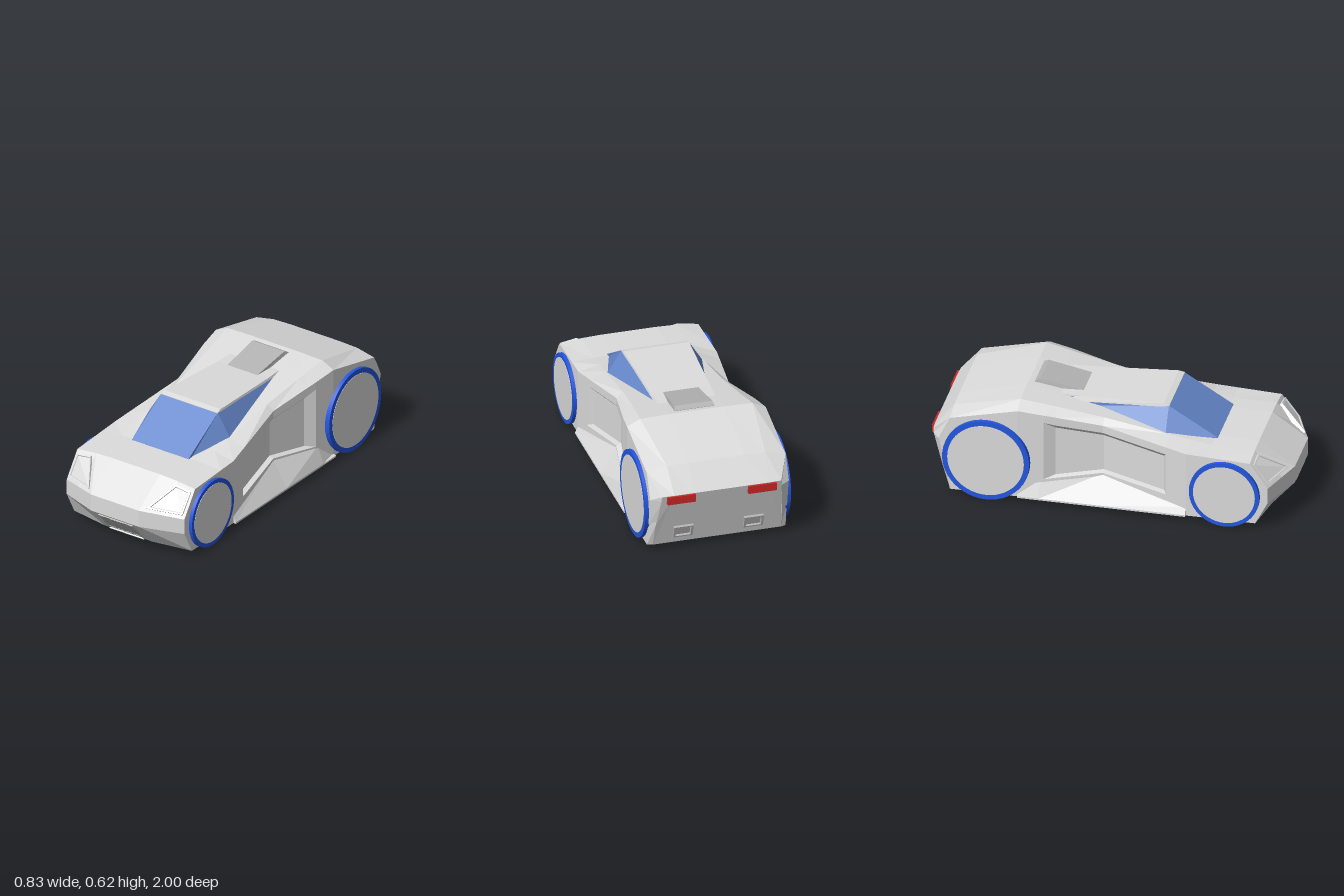
import * as THREE from 'three';

const mat = (name, color) => Object.assign(new THREE.MeshStandardMaterial({ color }), { name });

// Skin over closed rings (front ring first, corners counter-clockwise seen from the front), both ends capped
function loft(rings) {
  const pos = [];
  const tri = (a, b, c) => {
    const [A, B, C] = [a, b, c].map(p => new THREE.Vector3(...p));
    if (B.clone().sub(A).cross(C.clone().sub(A)).length() > 1e-8) pos.push(...a, ...b, ...c);
  };
  const quad = (a, b, c, d) => { tri(a, b, c); tri(a, c, d); };
  const n = rings[0].length;
  for (let i = 0; i < rings.length - 1; i++) {
    for (let k = 0; k < n; k++) {
      const m = (k + 1) % n;
      quad(rings[i][k], rings[i + 1][k], rings[i + 1][m], rings[i][m]);
    }
  }
  const first = rings[0], last = rings[rings.length - 1];
  for (let i = 0; i < n / 2; i++) {
    const ids = [i, i + 1, n - i - 1, (n - i) % n];
    quad(...ids.map(k => first[k]));
    quad(...ids.reverse().map(k => last[k]));
  }
  const g = new THREE.BufferGeometry();
  g.setAttribute('position', new THREE.Float32BufferAttribute(pos, 3));
  g.computeVertexNormals();
  return g;
}

// Raised rim around a sunken panel, laid on the polygon pts
function frame(pts, inset, top, floor, base = -0.02) {
  const v = pts.map(p => new THREE.Vector3(...p));
  const nrm = v[1].clone().sub(v[0]).cross(v[2].clone().sub(v[0])).normalize();
  const mid = v.reduce((s, p) => s.add(p), new THREE.Vector3()).divideScalar(v.length);
  const ring = (t, h) => v.map(p => p.clone().lerp(mid, t).addScaledVector(nrm, h).toArray());
  return loft([ring(inset * 1.25, floor), ring(inset, top), ring(0, top), ring(0, base)]);
}

// Mirror a ring to the side s while keeping its winding
const onSide = (s, pts) => s > 0 ? pts : pts.map(([x, y, z]) => [-x, y, z]).reverse();

// Half section of the body: floor, sill, door pocket, belt line, shoulder, deck
function section(z, x, yLow, yHigh, yBelt, xSh, yTop, d = 0) {
  return [[0, 0.03], [0.16, 0.03], [x, 0.03], [x, yLow], [x - d, yLow + d * 0.3], [x - d, yHigh - d],
    [x, yHigh], [x, yBelt], [xSh, yTop - 0.004], [0.16, yTop], [0, yTop]].map(p => [...p, z]);
}

function fullRing(half) {
  const neg = half.map(([x, y, z]) => [-x, y, z]);
  return [...neg.slice(1, 6).reverse(), ...half, ...neg.slice(6, 10).reverse()];
}

function bodyGeometry() {
  const low = [0.395, 0.165, 0.9], high = [0.395, 0.255, 0.9];
  const nose = [[0, 0.18, 1], [0.16, 0.18, 1], low, low, low, high, high, high,
    [0.27, 0.268, 0.953], [0.16, 0.28, 1], [0, 0.28, 1]];
  const bumper = section(0.8, 0.395, 0.165, 0.255, 0.4, 0.27, 0.418);
  [0.87, 0.87, 0.83, 0.87, 0.87, 0.87, 0.87].forEach((z, i) => { bumper[i][2] = z; });
  const rearEdge = section(-0.88, 0.395, 0.17, 0.34, 0.475, 0.28, 0.503);
  [[3, -0.9], [4, -0.91], [5, -0.94], [6, -0.945]].forEach(([i, z]) => { rearEdge[i][2] = z; });
  const tail = [[0, 0.03, -0.89], [0.16, 0.03, -0.89], [0.365, 0.03, -0.89], [0.36, 0.17, -0.932],
    [0.355, 0.2, -0.94], [0.345, 0.32, -0.975], [0.342, 0.34, -0.982], [0.34, 0.37, -0.985],
    [0.27, 0.37, -0.988], [0.16, 0.37, -0.988], [0, 0.37, -0.988]];
  return loft([
    nose, bumper,
    section(0.56, 0.395, 0.16, 0.35, 0.41, 0.27, 0.422),
    section(0.44, 0.395, 0.14, 0.37, 0.415, 0.27, 0.441),
    section(0.325, 0.377, 0.14, 0.39, 0.433, 0.275, 0.462),
    section(0.31, 0.375, 0.14, 0.39, 0.435, 0.275, 0.464, 0.028),
    section(-0.04, 0.32, 0.195, 0.445, 0.49, 0.28, 0.525, 0.028),
    section(-0.3, 0.366, 0.155, 0.485, 0.535, 0.3, 0.57, 0.028),
    section(-0.36, 0.377, 0.145, 0.5, 0.545, 0.305, 0.581),
    section(-0.5, 0.395, 0.14, 0.45, 0.565, 0.32, 0.605),
    rearEdge, tail
  ].map(fullRing));
}

export function createModel() {
  const car = new THREE.Group();
  car.name = 'sportsCar';
  const white = mat('bodyWhite', 0xdcdcdc);
  const grey = mat('ventGrey', 0xb4b4b4);
  const glass = mat('glassBlue', 0x6688cc);
  const blue = mat('tyreBlue', 0x2456e0);
  const red = mat('lampRed', 0xcc2626);
  const add = (name, geometry, material, x = 0, y = 0, z = 0) => {
    const m = new THREE.Mesh(geometry, material);
    m.name = name;
    m.position.set(x, y, z);
    car.add(m);
    return m;
  };
  // Four-cornered ring across the car at depth z
  const band = (z, xb, yb, xt, yt) => [[-xb, yb, z], [xb, yb, z], [xt, yt, z], [-xt, yt, z]];

  add('body', bodyGeometry(), white);

  // Cabin
  add('cabinGlass', loft([band(0.575, 0.19, 0.4, 0.19, 0.422), band(0.3, 0.279, 0.445, 0.19, 0.588),
    band(-0.32, 0.17, 0.5, 0.165, 0.56)]), glass);
  add('roof', loft([band(0.303, 0.192, 0.582, 0.19, 0.589), band(0.27, 0.192, 0.578, 0.187, 0.597),
    band(-0.2, 0.178, 0.545, 0.168, 0.574), band(-0.36, 0.165, 0.54, 0.16, 0.572)]), white);
  add('roofScoop', loft([band(-0.195, 0.102, 0.55, 0.1, 0.574), band(-0.44, 0.118, 0.57, 0.108, 0.617),
    band(-0.468, 0.12, 0.57, 0.115, 0.602)]), grey);

  // Front grille with four cells
  const noseZ = y => 1 - (0.18 - y) * 0.867;
  const cell = (x0, x1, y0, y1) => [[x0, y0], [x1, y0], [x1, y1], [x0, y1]].map(([x, y]) => [x, y, noseZ(y)]);
  add('grilleFrame', frame(cell(-0.115, 0.115, 0.042, 0.17), 0.05, 0.006, 0.002), grey);
  for (let i = 0; i < 4; i++) {
    const x = -0.107 + i * 0.0545;
    add('grilleCell', frame(cell(x, x + 0.05, 0.06, 0.165), 0.1, 0.006, 0.003), grey);
  }
  add('grilleSill', frame(cell(-0.115, 0.115, 0.042, 0.047), 0.1, 0.01, 0.01), white);

  for (const s of [1, -1]) {
    // Lamps and exhausts
    add('headlight', frame(onSide(s, [[0.19, 0.29, 0.971], [0.38, 0.275, 0.897], [0.38, 0.385, 0.815],
      [0.285, 0.4, 0.818]]), 0.14, 0.01, 0.004, -0.03), white);
    add('tailLight', new THREE.BoxGeometry(0.16, 0.045, 0.03), red, s * 0.23, 0.345, -0.985);
    add('exhaust', frame(onSide(s, [[0.255, 0.075, -0.903], [0.145, 0.075, -0.903], [0.145, 0.145, -0.924],
      [0.255, 0.145, -0.924]]), 0.22, 0.014, 0.003), grey);

    // Side skirt sloping up to the waist of the door
    const skirt = [[0.44, 0.39, 0.08], [-0.04, 0.315, 0.19], [-0.38, 0.375, 0.14], [-0.5, 0.39, 0.045]];
    add('sideSkirt', loft(skirt.map(([z, x, y]) => onSide(s,
      [[0.28, 0.03, z], [0.412, 0.03, z], [0.412, 0.04, z], [x, y, z], [0.28, y - 0.01, z]]))), white);

    // Wheels
    for (const [name, z, r] of [['frontWheel', 0.66, 0.197], ['rearWheel', -0.675, 0.244]]) {
      add(name, new THREE.CylinderGeometry(r, r, 0.156, 48).rotateZ(Math.PI / 2), blue, s * 0.337, r, z);
      add(name + 'Disc', new THREE.CylinderGeometry(r * 0.88, r * 0.88, 0.01, 48).rotateZ(Math.PI / 2),
        white, s * 0.412, r, z);
    }
  }
  return car;
}
